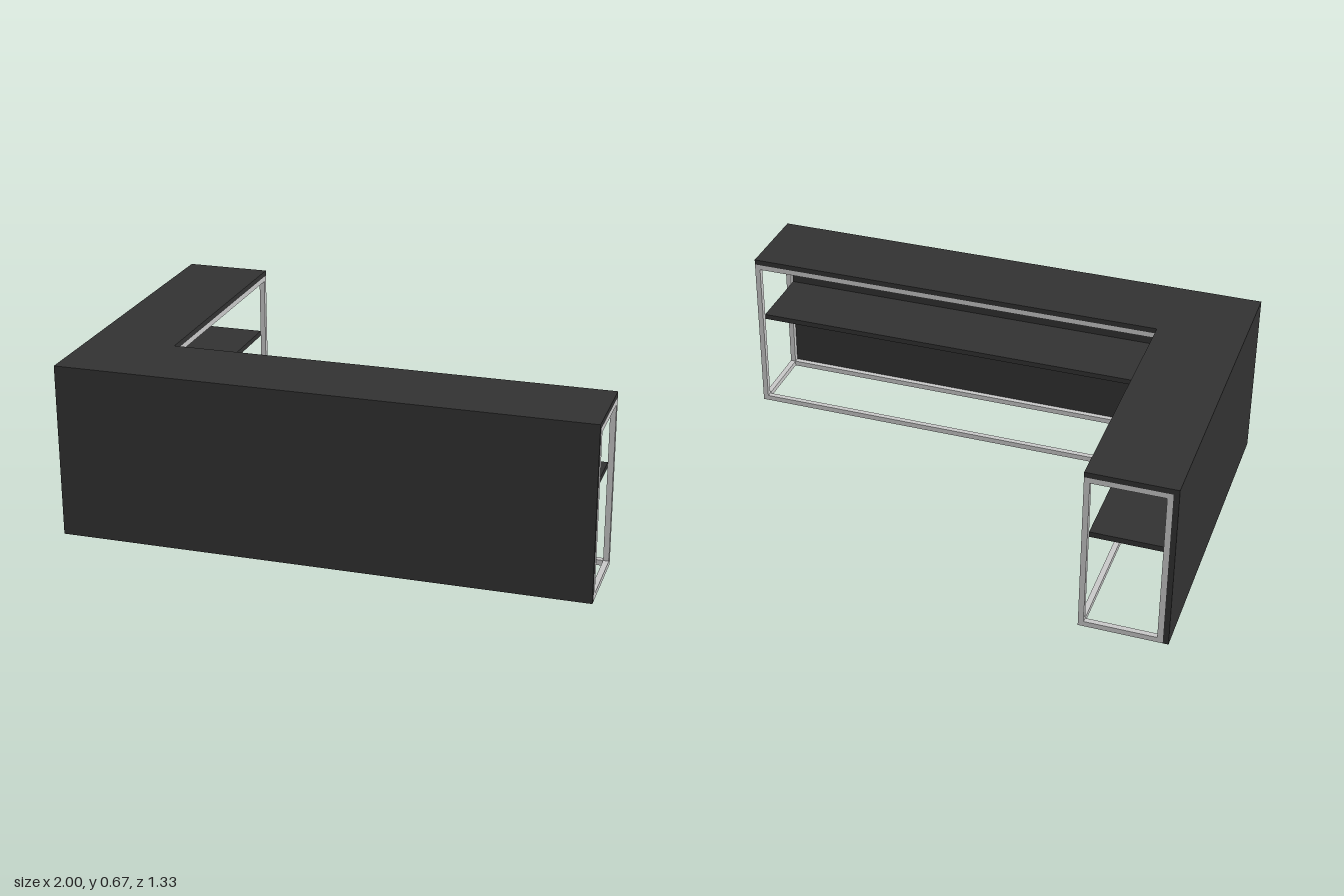
import * as THREE from 'three';

const D = 0.667;      // half depth and total height
const W = 0.333;      // width of each wing
const T = 0.021;      // panel and bar thickness

export function createModel() {
  const group = new THREE.Group();
  const dark = new THREE.MeshStandardMaterial({ color: 0x333333 });
  const grey = new THREE.MeshStandardMaterial({ color: 0xcccccc });

  // Box given by its minimum and maximum corners
  function box(name, min, max, material) {
    const size = max.map((v, i) => v - min[i]);
    const mesh = new THREE.Mesh(new THREE.BoxGeometry(...size), material);
    mesh.position.set(...max.map((v, i) => (v + min[i]) / 2));
    mesh.name = name;
    group.add(mesh);
  }

  // L-shaped slab: outer corner at (x0, z1), wings ending at x1 and z0, inner corner at (xi, zi)
  function slab(name, x0, x1, z0, z1, xi, zi, y) {
    const shape = new THREE.Shape([
      [x0, -z1], [x1, -z1], [x1, -zi], [xi, -zi], [xi, -z0], [x0, -z0],
    ].map(([x, v]) => new THREE.Vector2(x, v)));
    const geometry = new THREE.ExtrudeGeometry(shape, { depth: T, bevelEnabled: false });
    geometry.rotateX(-Math.PI / 2);
    const mesh = new THREE.Mesh(geometry, dark);
    mesh.position.y = y;
    mesh.name = name;
    group.add(mesh);
  }

  const xi = -1 + W, zi = D - W;       // inner corner
  const xo = -1 + T, zo = D - T;       // inner faces of the panels
  const top = D - T;                   // underside of the counter top

  // Counter top, shelf and outer panels
  slab('counterTop', -1, 1, -D, D, xi, zi, top);
  slab('shelf', xo, 1 - T, -D + T, zo, xi - T, zi + T, 0.384);
  box('frontPanel', [-1, 0, zo], [1, top, D], dark);
  box('sidePanel', [-1, 0, -D], [xo, top, zo], dark);

  // Bottom and top rings of the frame
  for (const y of [0, top - T]) {
    const h = y + T;
    box('frontRail', [xo, y, zo - T], [1 - T, h, zo], grey);
    box('innerLongRail', [xi - T, y, zi], [1 - T, h, zi + T], grey);
    box('longEndRail', [1 - T, y, zi + T], [1, h, zo - T], grey);
    box('sideRail', [xo, y, -D + T], [xo + T, h, zo - T], grey);
    box('innerShortRail', [xi - T, y, -D + T], [xi, h, zi], grey);
    box('shortEndRail', [xo + T, y, -D], [xi - T, h, -D + T], grey);
  }

  // Upright posts at the open ends
  for (const z of [zi, zo - T]) box('longEndPost', [1 - T, 0, z], [1, top, z + T], grey);
  for (const x of [xo, xi - T]) box('shortEndPost', [x, 0, -D], [x + T, top, -D + T], grey);

  return group;
}
